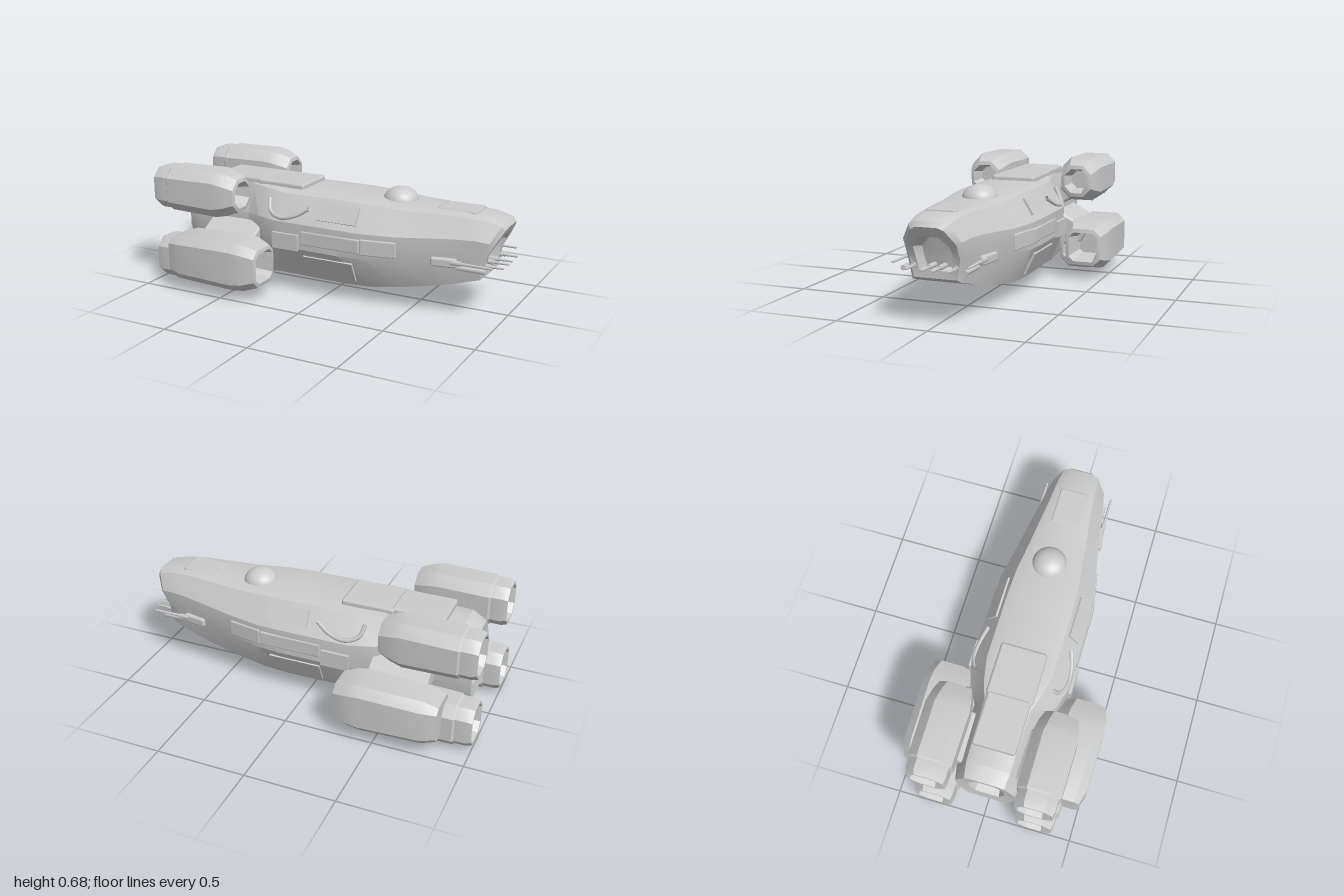
import * as THREE from 'three';
import { toCreasedNormals } from 'three/addons/utils/BufferGeometryUtils.js';
import { RoundedBoxGeometry } from 'three/addons/geometries/RoundedBoxGeometry.js';

const material = new THREE.MeshStandardMaterial({ color: 0xcccccc, side: THREE.DoubleSide });

function add(parent, name, geometry, x = 0, y = 0, z = 0) {
  const mesh = new THREE.Mesh(geometry, material);
  mesh.name = name;
  mesh.position.set(x, y, z);
  parent.add(mesh);
  return mesh;
}

// Skin a list of equal-length rings, running from -x to +x, with both ends capped
function loft(rings) {
  const n = rings[0].length, pos = [];
  const tri = (...pts) => pts.forEach(p => pos.push(...p));
  const centre = r => [0, 1, 2].map(k => r.reduce((s, p) => s + p[k], 0) / n);
  const first = rings[0], last = rings[rings.length - 1];
  const c0 = centre(first), c1 = centre(last);
  for (let j = 0; j < n; j++) {
    const k = (j + 1) % n;
    tri(c0, first[k], first[j]);
    tri(c1, last[j], last[k]);
    for (let i = 0; i < rings.length - 1; i++) {
      const a = rings[i], b = rings[i + 1];
      tri(a[j], a[k], b[k]);
      tri(a[j], b[k], b[j]);
    }
  }
  const g = new THREE.BufferGeometry();
  g.setAttribute('position', new THREE.Float32BufferAttribute(pos, 3));
  return toCreasedNormals(g, 0.45);
}

// Hull section from x, top, bottom and half width: the corners follow fixed
// proportions, the belly widens forward and the bow rakes ahead above the chin
function hullRing([x, top, bot, w]) {
  const tall = top - bot, roof = w * 0.66;
  const belly = w * (0.68 + 0.3 * Math.max(0, x - 0.3));
  const rake = 2.75 * Math.max(0, x - 0.7);
  const half = [[roof * 0.65, top], [roof, top - 0.015], [w, bot + tall * 0.68], [w, bot + tall * 0.38], [belly, bot]];
  const other = half.map(([z, y]) => [-z, y]).reverse();
  return [[0, top], ...half, [0, bot], ...other]
    .map(([z, y]) => [x + rake * Math.max(0, y - 0.33), y, z]);
}

// Chamfered rectangular section: x, half width, half height, corner cut
function octRing([x, w, h, c]) {
  return [[w - c, h], [w, h - c], [w, c - h], [w - c, -h], [c - w, -h], [-w, c - h], [-w, h - c], [c - w, h]]
    .map(([z, y]) => [x, y, z]);
}

function rod(parent, name, x0, x1, y, z, r0, r1) {
  const mesh = add(parent, name, new THREE.CylinderGeometry(r1, r0, x1 - x0, 8), (x0 + x1) / 2, y, z);
  mesh.rotation.z = -Math.PI / 2;
}

// From the recessed stern plate to the recessed bow opening
const HULL = [
  [-0.86, 0.43, 0.23, 0.09],
  [-0.91, 0.45, 0.21, 0.1],
  [-0.92, 0.53, 0.14, 0.165],
  [-0.84, 0.575, 0.09, 0.18],
  [-0.5, 0.59, 0.05, 0.19],
  [-0.4, 0.59, 0.08, 0.24],
  [-0.27, 0.58, 0.1, 0.28],
  [0.12, 0.58, 0.095, 0.28],
  [0.27, 0.575, 0.1, 0.272],
  [0.45, 0.565, 0.125, 0.24],
  [0.62, 0.565, 0.16, 0.21],
  [0.74, 0.565, 0.185, 0.185],
  [0.82, 0.555, 0.21, 0.17],
  [0.88, 0.535, 0.225, 0.155],
  [0.9, 0.51, 0.24, 0.135],
  [0.9, 0.46, 0.28, 0.1],
  [0.84, 0.44, 0.29, 0.085],
];

// Long engine pod with recessed exhaust (rear) and intake (front)
const REAR_ENGINE = [
  [-0.9, 0.06, 0.06, 0.03],
  [-1, 0.09, 0.095, 0.045],
  [-1, 0.1, 0.11, 0.05],
  [-0.97, 0.107, 0.117, 0.05],
  [-0.91, 0.107, 0.117, 0.05],
  [-0.9, 0.118, 0.124, 0.055],
  [-0.6, 0.12, 0.13, 0.055],
  [-0.53, 0.108, 0.115, 0.055],
  [-0.475, 0.09, 0.093, 0.05],
  [-0.47, 0.072, 0.072, 0.04],
  [-0.56, 0.052, 0.052, 0.03],
];

// Squarer outboard pod with a recessed intake
const OUTER_ENGINE = [
  [-0.84, 0.1, 0.105, 0.03],
  [-0.76, 0.125, 0.13, 0.045],
  [-0.42, 0.132, 0.138, 0.045],
  [-0.35, 0.128, 0.13, 0.045],
  [-0.275, 0.104, 0.106, 0.04],
  [-0.27, 0.085, 0.085, 0.028],
  [-0.42, 0.06, 0.06, 0.02],
];

function createSide(s) {
  const side = new THREE.Group();
  side.name = s > 0 ? 'leftFittings' : 'rightFittings';

  // Engines
  const rearEngine = loft(REAR_ENGINE.map(octRing));
  add(side, 'upperEngine', rearEngine, 0, 0.55, s * 0.292);
  add(side, 'lowerRearEngine', rearEngine, 0, 0.134, s * 0.288);
  add(side, 'outerEngine', loft(OUTER_ENGINE.map(octRing)), 0, 0.195, s * 0.397);

  // Pylons from hull to engines
  const upper = add(side, 'upperPylon', new RoundedBoxGeometry(0.28, 0.1, 0.16, 1, 0.015), -0.7, 0.47, s * 0.2);
  upper.rotation.x = -s * 0.6;
  const lower = add(side, 'lowerPylon', new RoundedBoxGeometry(0.34, 0.1, 0.22, 1, 0.015), -0.56, 0.29, s * 0.27);
  lower.rotation.x = s * 0.5;

  // Flank plating
  add(side, 'flankPanel', new THREE.BoxGeometry(0.16, 0.09, 0.03), -0.2, 0.32, s * 0.282);
  add(side, 'flankRidge', new RoundedBoxGeometry(0.36, 0.08, 0.02, 1, 0.008), 0.07, 0.35, s * 0.276);
  const bow = add(side, 'bowPanel', new RoundedBoxGeometry(0.2, 0.09, 0.02, 1, 0.008), 0.35, 0.35, s * 0.256);
  bow.rotation.y = s * 0.17;
  const shoulder = add(side, 'shoulderPanel', new THREE.BoxGeometry(0.24, 0.1, 0.012), 0.1, 0.5, s * 0.234);
  shoulder.rotation.x = -s * 0.56;
  const belly = add(side, 'bellyPanel', new THREE.BoxGeometry(0.3, 0.13, 0.012), 0.05, 0.185, s * 0.236);
  belly.rotation.x = s * 0.45;

  // Curved shoulder rib
  const rib = new THREE.CatmullRomCurve3([
    [-0.34, 0.53, 0.205], [-0.32, 0.47, 0.24], [-0.25, 0.445, 0.268],
    [-0.16, 0.46, 0.262], [-0.08, 0.505, 0.237],
  ].map(([x, y, z]) => new THREE.Vector3(x, y, s * z)));
  add(side, 'shoulderRib', new THREE.TubeGeometry(rib, 20, 0.012, 6));

  // Side gun mount, then the row of guns from outboard to centre
  const mount = add(side, 'gunMount', new RoundedBoxGeometry(0.14, 0.05, 0.05, 1, 0.012), 0.7, 0.315, s * 0.19);
  mount.rotation.y = s * 0.15;
  for (const [z, y, start, end] of [[0.198, 0.32, 0.64, 0.965], [0.165, 0.285, 0.76, 0.92], [0.112, 0.3, 0.76, 1], [0.028, 0.298, 0.76, 1]]) {
    rod(side, 'gun', start, start + 0.16, y, s * z, 0.014, 0.014);
    rod(side, 'gunBarrel', start + 0.12, end, y, s * z, 0.009, 0.006);
  }
  return side;
}

export function createModel() {
  const ship = new THREE.Group();
  ship.name = 'spaceship';
  add(ship, 'hull', loft(HULL.map(hullRing)));

  // Dorsal dome
  const dome = add(ship, 'dome', new THREE.SphereGeometry(0.098, 24, 10, 0, Math.PI * 2, 0, Math.PI / 2), 0.36, 0.555, -0.015);
  dome.scale.y = 0.78;

  // Dorsal plating
  add(ship, 'rearDeck', new RoundedBoxGeometry(0.3, 0.06, 0.26, 1, 0.015), -0.32, 0.577, 0);
  add(ship, 'deckStep', new RoundedBoxGeometry(0.3, 0.05, 0.24, 1, 0.015), -0.6, 0.585, 0);
  add(ship, 'foreDeck', new RoundedBoxGeometry(0.22, 0.03, 0.16, 1, 0.01), 0.72, 0.556, 0);

  // Ventral keel plate
  add(ship, 'keelPlate', new RoundedBoxGeometry(0.4, 0.03, 0.26, 1, 0.01), 0.02, 0.105, 0);

  for (const s of [1, -1]) ship.add(createSide(s));
  return ship;
}
